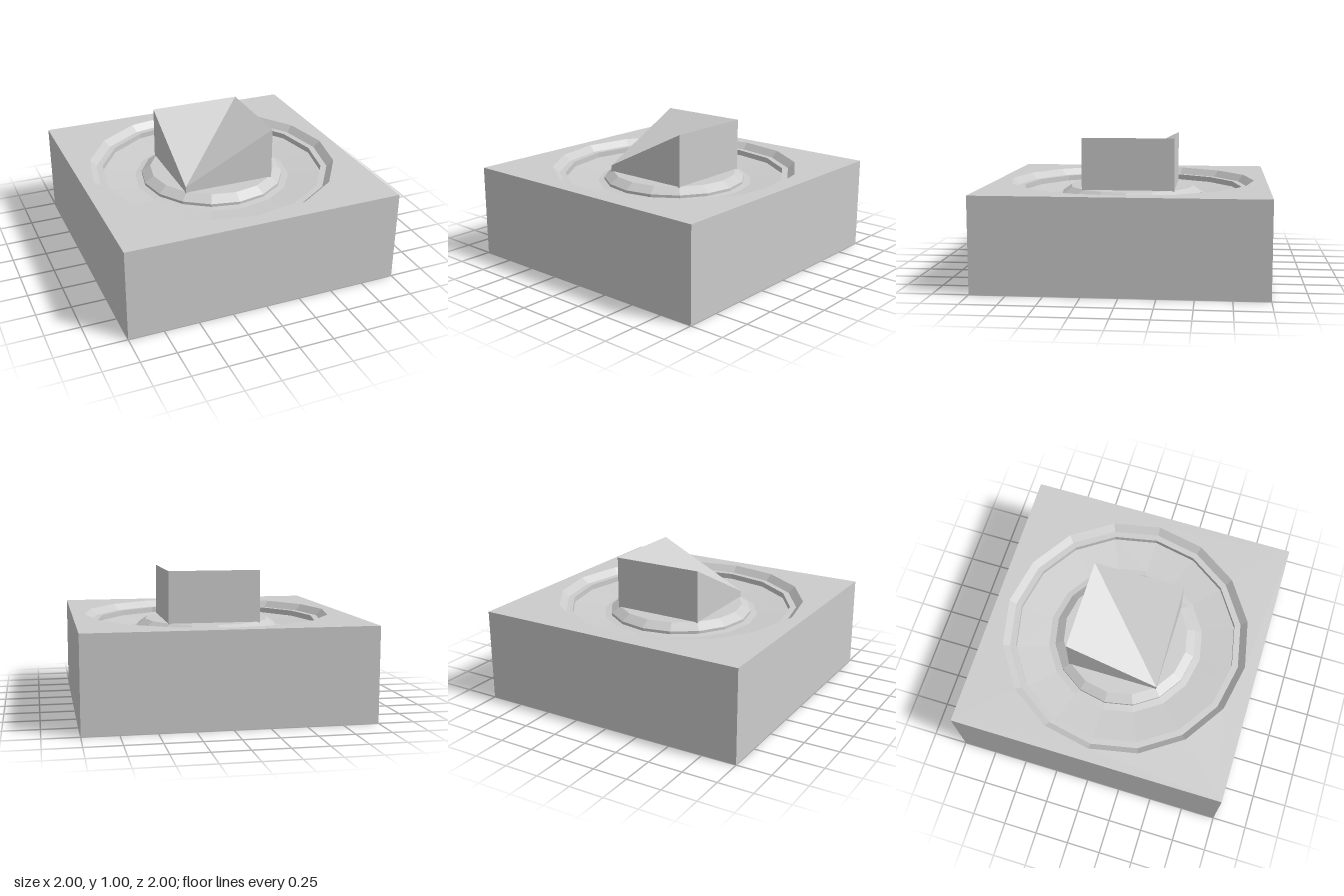
import * as THREE from 'three';

const SIDES = 16;
const TOP = 0.667;
const RIM = 0.908;

export function createModel() {
  const group = new THREE.Group();
  const material = new THREE.MeshStandardMaterial({ color: 0xcccccc, flatShading: true });
  const add = (name, geometry) => {
    const mesh = new THREE.Mesh(geometry, material);
    mesh.name = name;
    group.add(mesh);
  };

  // Square base, left open on top (box faces run +x, -x, +y, -y, +z, -z)
  const base = new THREE.BoxGeometry(2, TOP, 2).translate(0, TOP / 2, 0);
  const index = Array.from(base.index.array);
  index.splice(12, 6);
  base.setIndex(index);
  base.clearGroups();
  add('base', base);

  // Top plate with a sixteen-sided opening
  const plate = new THREE.Shape([
    new THREE.Vector2(-1, -1), new THREE.Vector2(1, -1),
    new THREE.Vector2(1, 1), new THREE.Vector2(-1, 1),
  ]);
  const opening = [];
  for (let i = 0; i < SIDES; i++) {
    const a = (-i / SIDES) * Math.PI * 2;
    opening.push(new THREE.Vector2(Math.cos(a) * RIM, Math.sin(a) * RIM));
  }
  plate.holes.push(new THREE.Path(opening));
  add('topPlate', new THREE.ShapeGeometry(plate).rotateX(-Math.PI / 2).translate(0, TOP, 0));

  // Ring groove: chamfer, ledge, step, sloping floor, then the raised centre disc
  const profile = [
    [RIM, TOP], [0.86, 0.62], [0.815, 0.62], [0.815, 0.58],
    [0.575, 0.555], [0.525, 0.56], [0.525, 0.58], [0.46, 0.625], [0, 0.625],
  ].map(([r, y]) => new THREE.Vector2(r, y));
  add('ringGroove', new THREE.LatheGeometry(profile, SIDES));

  // Centre block with its front corner at -x folded down along the diagonal
  const bottom = 0.6;
  const block = new THREE.BoxGeometry(0.667, 1 - bottom, 0.667).translate(0, (1 + bottom) / 2, 0);
  const p = block.attributes.position;
  for (let i = 0; i < p.count; i++) {
    if (p.getX(i) < 0 && p.getZ(i) > 0 && p.getY(i) > 0.9) p.setY(i, TOP);
  }
  block.computeVertexNormals();
  add('centreBlock', block);

  return group;
}
